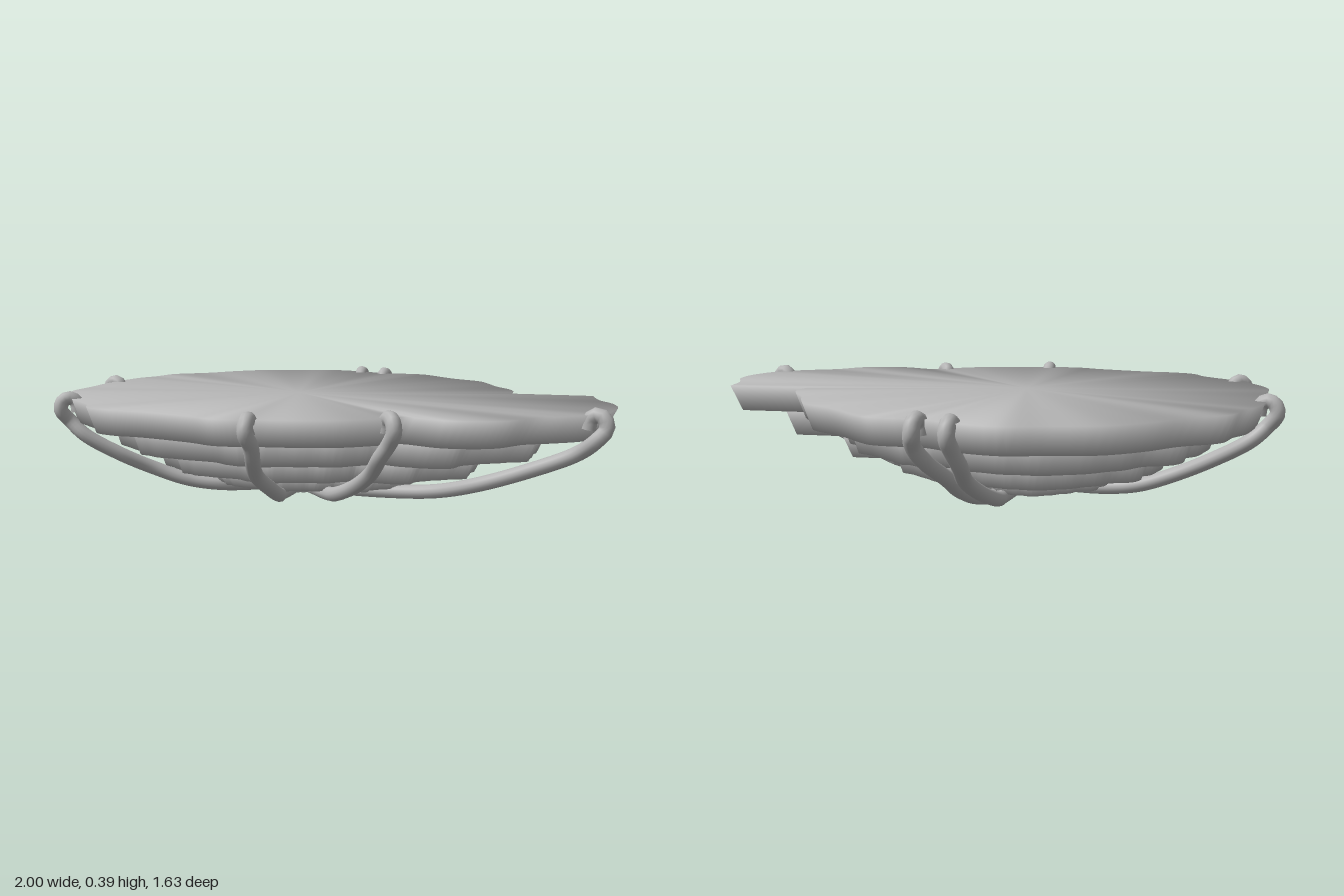
import * as THREE from 'three';

const CX = -0.12; // x of the hub all parts grow from

// Rim outline as x, z pairs, running from the tip of the overlap round to the notch
const RIM = [
  0.61, -0.77, 0.70, -0.69, 0.80, -0.64, 0.88, -0.56, 0.93, -0.45, 0.94, -0.37, 0.91, -0.27,
  0.87, -0.17, 0.87, -0.06, 0.83, 0.02, 0.75, 0.09, 0.62, 0.13, 0.60, 0.21, 0.56, 0.33,
  0.49, 0.43, 0.39, 0.53, 0.33, 0.60, 0.27, 0.64, 0.18, 0.66, 0.0, 0.73, -0.10, 0.79,
  -0.19, 0.81, -0.28, 0.77, -0.45, 0.75, -0.58, 0.70, -0.68, 0.63, -0.75, 0.53, -0.85, 0.40,
  -0.94, 0.23, -0.96, 0.13, -1.0, 0.02, -0.96, -0.12, -0.95, -0.27, -0.91, -0.41, -0.81, -0.54,
  -0.73, -0.64, -0.60, -0.70, -0.49, -0.72, -0.42, -0.77, -0.36, -0.81, -0.30, -0.82,
  -0.13, -0.80, 0.0, -0.81, 0.08, -0.78, 0.19, -0.72, 0.28, -0.69, 0.34, -0.65, 0.38, -0.59,
];

// Sampled outline, relative to the hub
function rimOutline() {
  const pts = [];
  for (let i = 0; i < RIM.length; i += 2) pts.push(new THREE.Vector2(RIM[i] - CX, RIM[i + 1]));
  return new THREE.SplineCurve(pts).getPoints(192);
}

// Closed slab: flat top and bottom fans joined by a tapering, gently ruffled wall
function tierGeometry(outline, top, bottom, sTop, sBottom, ruffle) {
  const n = outline.length;
  const pos = [0, top, 0, 0, bottom, 0];
  const index = [];
  outline.forEach((p, i) => {
    const w = Math.sin(i * 0.42) + 0.7 * Math.sin(i * 0.73 + 1) + 0.5 * Math.sin(i * 1.31 + 2);
    const a = sTop * (1 + ruffle * w);
    const b = sBottom * (1 + ruffle * w * 1.4);
    pos.push(p.x * a, top, p.y * a, p.x * b, bottom, p.y * b);
    const t0 = 2 + 2 * i, t1 = 2 + 2 * ((i + 1) % n);
    index.push(0, t1, t0, 1, t0 + 1, t1 + 1, t0, t1, t1 + 1, t0, t1 + 1, t0 + 1);
  });
  const geo = new THREE.BufferGeometry();
  geo.setAttribute('position', new THREE.Float32BufferAttribute(pos, 3));
  geo.setIndex(index);
  geo.computeVertexNormals();
  // Soft edge: rim normals lean halfway between cap and wall
  const nor = geo.attributes.normal;
  for (let i = 2; i < nor.count; i++) {
    const x = nor.getX(i), z = nor.getZ(i), h = Math.hypot(x, z) || 1;
    nor.setXYZ(i, (x / h) * 0.707, i % 2 ? -0.707 : 0.707, (z / h) * 0.707);
  }
  return geo;
}

// Tendril running from the hub, out under the tiers and hooking over the rim
function tendrilGeometry(x, z, k) {
  const dx = x - CX, r = Math.hypot(dx, z), ux = dx / r, uz = z / r;
  const path = [
    [0.0, 0.03], [0.15, 0.03], [0.35, 0.038], [0.5, 0.058], [0.64, 0.1], [0.8, 0.165],
    [0.94, 0.235], [1.0, 0.285],
  ].map(([f, y], i) => {
    const s = 0.012 * Math.sin(i * 1.9 + k * 2.3) * (i > 0 ? 1 : 0); // slight wander
    return new THREE.Vector3(ux * f * r - uz * s, y, uz * f * r + ux * s);
  });
  for (const [d, y] of [[0.03, 0.325], [0.022, 0.355], [-0.002, 0.366], [-0.024, 0.352], [-0.03, 0.32]])
    path.push(new THREE.Vector3(ux * (r + d), y, uz * (r + d)));
  return new THREE.TubeGeometry(new THREE.CatmullRomCurve3(path), 72, 0.025, 12);
}

export function createModel() {
  const group = new THREE.Group();
  const grey = new THREE.MeshStandardMaterial({ color: 0xb4b4b4 });
  grey.name = 'grey';
  const add = (name, geo) => {
    const mesh = new THREE.Mesh(geo, grey);
    mesh.name = name;
    mesh.position.x = CX;
    group.add(mesh);
  };

  // Stacked tiers, widest on top: top y, bottom y, top scale, bottom scale, ruffle
  const outline = rimOutline();
  [
    [0.365, 0.277, 1.0, 0.96, 0],
    [0.285, 0.19, 0.81, 0.77, 0.007],
    [0.198, 0.11, 0.62, 0.58, 0.009],
    [0.118, 0.05, 0.43, 0.37, 0.014],
    [0.058, 0.004, 0.24, 0.1, 0.025],
  ].forEach((t, i) => add('tier' + (i + 1), tierGeometry(outline, ...t)));

  // Tendrils gripping the rim
  [
    [0.95, -0.37], [0.61, 0.19], [0.37, 0.55], [-0.46, 0.75],
    [-0.88, 0.36], [-0.59, -0.69], [-0.485, -0.73],
  ].forEach(([x, z], i) => add('tendril' + (i + 1), tendrilGeometry(x, z, i)));

  return group;
}
